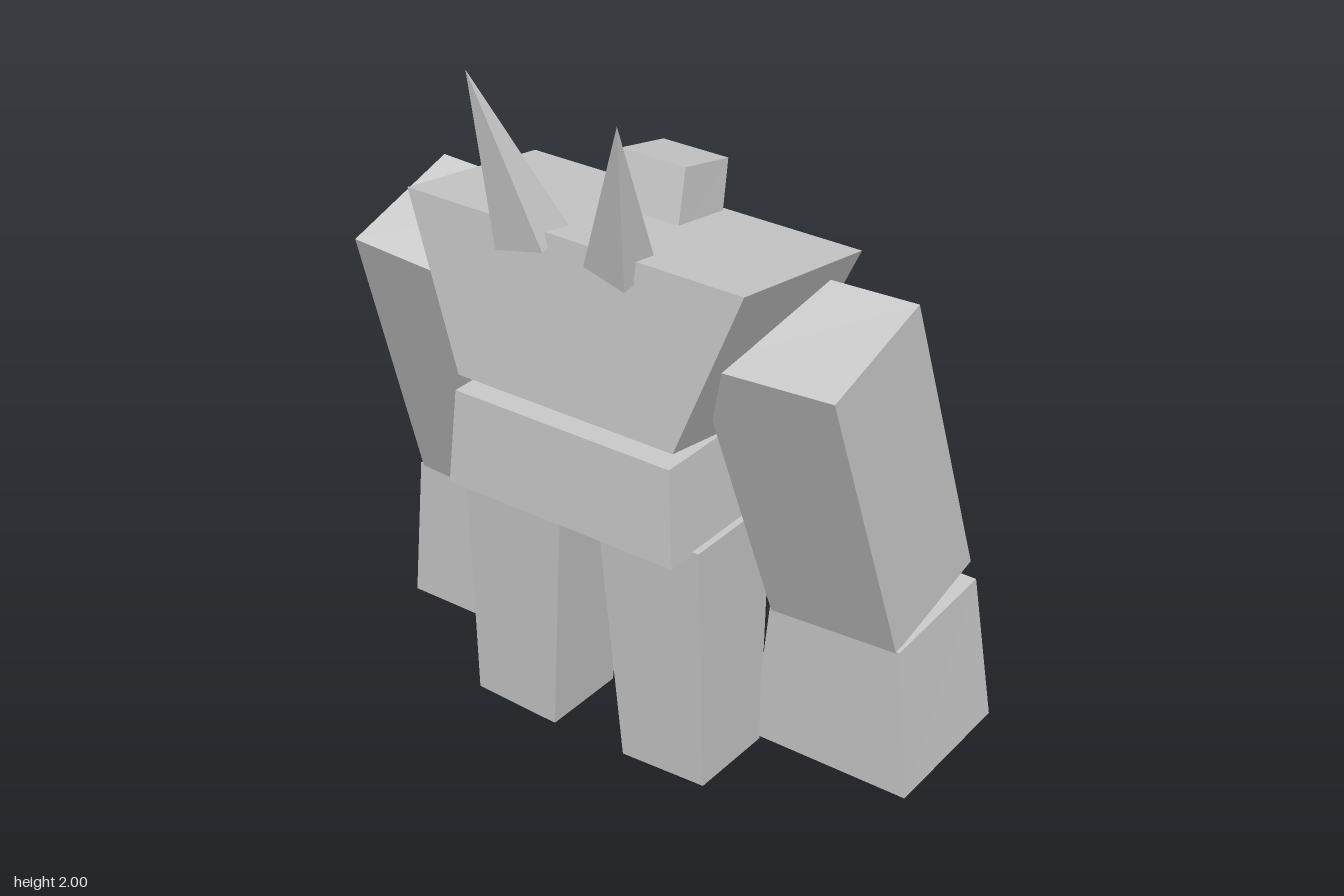
import * as THREE from 'three';

const stone = new THREE.MeshStandardMaterial({ color: 0xcccccc });
stone.name = 'pale grey';

// Flat-faced solid from a bottom ring to a top ring (or a single apex).
// Rings run: front -x, front +x, back +x, back -x.
function solid(name, bottom, top) {
  const pos = [];
  const tri = (...pts) => pts.forEach((p) => pos.push(...p));
  const pointed = top.length === 1;
  for (let i = 0; i < 4; i++) {
    const j = (i + 1) % 4;
    tri(bottom[i], bottom[j], top[pointed ? 0 : j]);
    if (!pointed) tri(bottom[i], top[j], top[i]);
  }
  tri(bottom[0], bottom[2], bottom[1]);
  tri(bottom[0], bottom[3], bottom[2]);
  if (!pointed) {
    tri(top[0], top[1], top[2]);
    tri(top[0], top[2], top[3]);
  }
  const geo = new THREE.BufferGeometry();
  geo.setAttribute('position', new THREE.Float32BufferAttribute(pos, 3));
  geo.computeVertexNormals();
  const mesh = new THREE.Mesh(geo, stone);
  mesh.name = name;
  return mesh;
}

// Ring symmetric about x = 0: half width, then front and back [y, z]
const ring = (w, [yf, zf], [yb, zb]) => [[-w, yf, zf], [w, yf, zf], [w, yb, zb], [-w, yb, zb]];

// Mirror a ring across x = 0, keeping its winding
function mirror(r) {
  const m = r.map(([x, y, z]) => [-x, y, z]);
  return m.length === 1 ? m : [m[1], m[0], m[3], m[2]];
}

export function createModel() {
  const group = new THREE.Group();
  group.name = 'hornedGolem';

  // Trunk and head
  group.add(
    solid('chest', ring(0.35, [1.08, 0.36], [1.01, -0.1]), ring(0.533, [1.56, 0.324], [1.48, -0.203])),
    solid('pelvis', ring(0.37, [0.76, 0.39], [0.76, -0.225]), ring(0.35, [1.04, 0.375], [1.04, -0.21])),
    solid('head', ring(0.115, [1.46, 0.027], [1.42, -0.172]), ring(0.105, [1.66, -0.027], [1.62, -0.217])),
  );

  // Limbs, given for the left (+x) side and mirrored
  const limbs = {
    Arm: [
      [[0.42, 0.45, 0], [0.815, 0.47, 0], [0.81, 0.56, -0.38], [0.415, 0.54, -0.385]],
      [[0.36, 1.3, 0.28], [0.772, 1.325, 0.28], [0.772, 1.442, -0.097], [0.36, 1.427, -0.097]],
    ],
    Forearm: [
      [[0.37, 0.02, 0], [0.865, 0.02, 0], [0.865, 0.045, -0.445], [0.372, 0.045, -0.445]],
      [[0.417, 0.475, 0], [0.825, 0.475, 0], [0.822, 0.5, -0.395], [0.417, 0.5, -0.395]],
    ],
    Leg: [
      [[0.12, 0, 0.27], [0.392, 0.012, 0.27], [0.392, 0.012, 0], [0.12, 0, 0]],
      [[0.063, 0.755, 0.3], [0.39, 0.768, 0.3], [0.39, 0.768, -0.03], [0.063, 0.755, -0.03]],
    ],
  };
  for (const [name, [bottom, top]] of Object.entries(limbs)) {
    group.add(solid('left' + name, bottom, top));
    group.add(solid('right' + name, mirror(bottom), mirror(top)));
  }

  // Horns, the right one slightly taller
  const hornBase = [[0.065, 1.515, 0.35], [0.205, 1.49, 0.366], [0.207, 1.515, 0.235], [0.065, 1.535, 0.23]];
  group.add(solid('leftHorn', hornBase, [[0.23, 1.96, 0.425]]));
  group.add(solid('rightHorn', mirror(hornBase), [[-0.22, 2, 0.44]]));

  return group;
}
